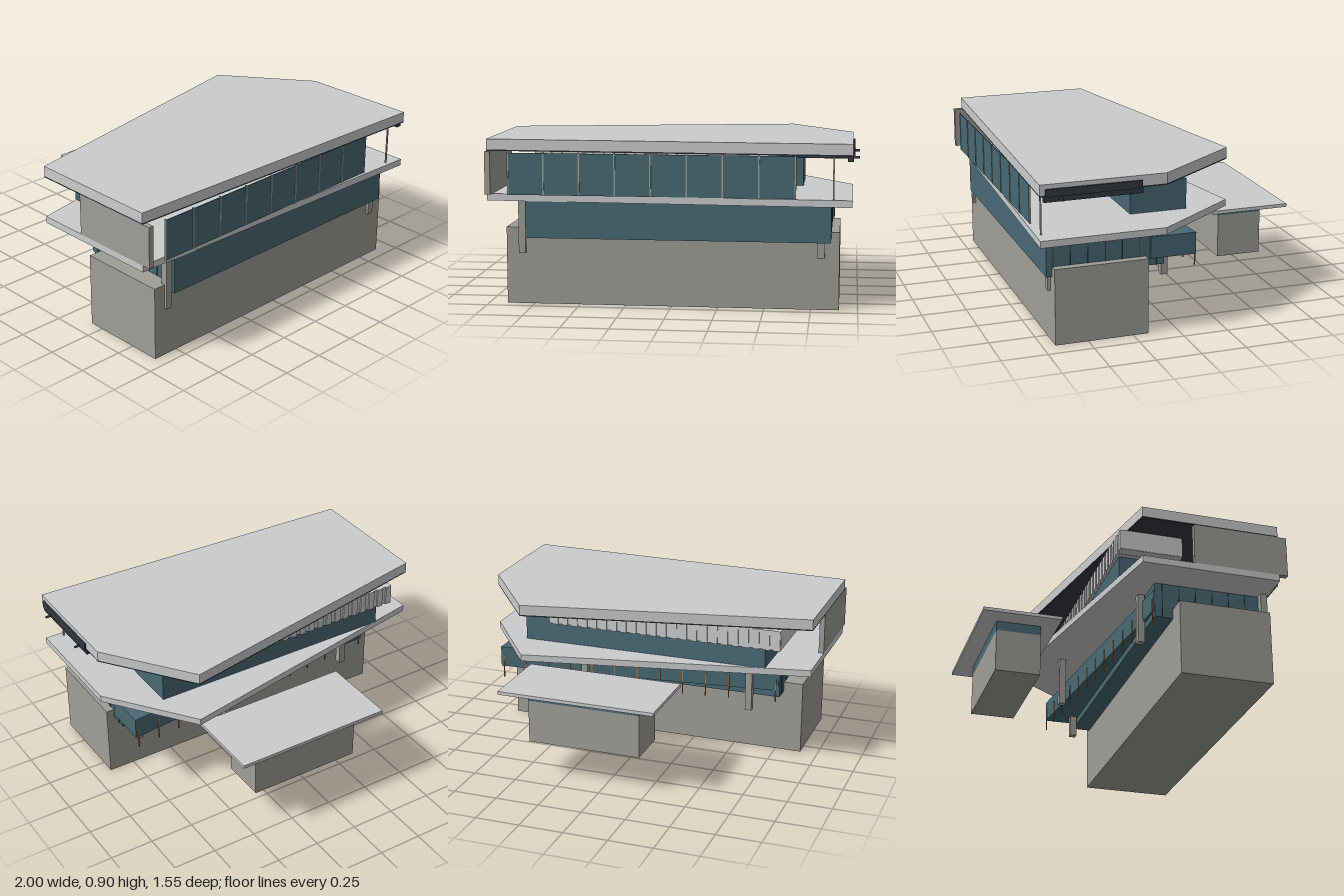
import * as THREE from 'three';

const mat = (name, color) => {
  const m = new THREE.MeshStandardMaterial({ color });
  m.name = name;
  return m;
};

export function createModel() {
  const model = new THREE.Group();
  const white = mat('paleRender', 0xcbccce);
  const concrete = mat('concrete', 0x9f9e98);
  const glass = mat('tealGlass', 0x49697400 >>> 8);
  const dark = mat('darkMetal', 0x343a42);
  const wood = mat('timber', 0xb0783c);

  const add = (name, geometry, material) => {
    const mesh = new THREE.Mesh(geometry, material);
    mesh.name = name;
    model.add(mesh);
    return mesh;
  };
  // Box given by its minimum and maximum on each axis
  const box = (name, material, x0, x1, y0, y1, z0, z1) => {
    const mesh = add(name, new THREE.BoxGeometry(x1 - x0, y1 - y0, z1 - z0), material);
    mesh.position.set((x0 + x1) / 2, (y0 + y1) / 2, (z0 + z1) / 2);
    return mesh;
  };
  // Upright prism over a plan outline of [x, z] points
  const prism = (name, material, outline, y0, y1) => {
    const shape = new THREE.Shape(outline.map(([x, z]) => new THREE.Vector2(x, z)));
    const geometry = new THREE.ExtrudeGeometry(shape, { depth: y1 - y0, bevelEnabled: false });
    geometry.rotateX(Math.PI / 2).translate(0, y1, 0);
    return add(name, geometry, material);
  };

  // Base block
  box('base', concrete, -0.9, 0.9, 0, 0.42, 0.165, 0.68);

  // Roof, soffit and upper floor share one plan
  const plan = [[-1, -0.07], [0.61, -0.39], [0.965, 0.09], [0.965, 0.772], [-1, 0.704]];
  prism('roof', white, plan, 0.843, 0.9);
  prism('soffit', dark, plan, 0.836, 0.843);
  prism('upperFloor', white, plan, 0.566, 0.604);

  // Columns
  for (const [x, z] of [[-0.812, 0.677], [0.803, 0.677], [-0.62, 0.035], [0.307, -0.16], [0.77, 0.035]]) {
    box('column', concrete, x - 0.019, x + 0.019, 0.28, 0.57, z - 0.019, z + 0.019);
  }

  // Middle storey with side mullions
  box('middleGlazing', glass, -0.79, 0.855, 0.366, 0.566, 0.062, 0.712);
  for (let i = 0; i < 7; i++) {
    const z = 0.105 + i * 0.095;
    for (const x of [-0.79, 0.855]) {
      box('middleMullion', dark, x - 0.003, x + 0.003, 0.366, 0.566, z - 0.002, z + 0.002);
    }
  }

  // Slanted rear gallery and its timber slats
  const back = [[-0.785, 0.058], [0.865, -0.115]];
  prism('rearGallery', glass, [...back, [0.865, 0.14], [-0.785, 0.305]], 0.405, 0.525);
  const slats = 13;
  for (let i = 0; i < slats; i++) {
    const t = 0.01 + 0.98 * i / (slats - 1);
    const x = THREE.MathUtils.lerp(back[0][0], back[1][0], t);
    const z = THREE.MathUtils.lerp(back[0][1], back[1][1], t);
    box('timberSlat', wood, x - 0.003, x + 0.003, 0.337, 0.475, z - 0.004, z + 0.002);
  }

  // Upper storey: end wall, front glazing and mullions
  box('endWall', concrete, -1, -0.97, 0.604, 0.836, 0.22, 0.753);
  const panels = 8, step = 0.1925;
  for (let i = 0; i <= panels; i++) {
    const x = -0.875 + i * step;
    if (i < panels) box('frontPane', glass, x + 0.004, x + step - 0.004, 0.604, 0.83, 0.737, 0.743);
    box('frontMullion', concrete, x - 0.004, x + 0.004, 0.604, 0.836, 0.736, 0.746);
  }
  box('cornerPole', concrete, 0.861, 0.869, 0.604, 0.836, 0.736, 0.744);

  // Upper rear room with ribbed band above
  box('rearRoom', glass, -0.75, 0.69, 0.604, 0.772, -0.125, 0.195);
  box('upperBand', white, -0.84, 0.54, 0.722, 0.836, -0.138, 0.203);
  for (let x = -0.82; x < 0.54; x += 0.06) {
    box('bandRib', white, x - 0.018, x + 0.018, 0.72, 0.836, -0.145, 0.21);
  }

  // Awning rails and arms on the left end
  box('awningCassette', dark, 0.966, 0.976, 0.835, 0.876, 0.226, 0.744);
  box('awningRail', dark, 0.938, 0.968, 0.806, 0.836, 0.222, 0.75);
  for (const z of [0.304, 0.66]) {
    const arm = add('awningArm', new THREE.CylinderGeometry(0.007, 0.007, 0.33, 8), dark);
    arm.rotation.z = Math.PI / 2;
    arm.position.set(0.835, 0.82, z);
  }

  // Rear annex
  box('annexWalls', concrete, -0.21, 0.44, 0.212, 0.456, -0.675, -0.42);
  box('annexWindows', glass, -0.21, 0.44, 0.456, 0.511, -0.675, -0.42);
  box('annexRoof', white, -0.327, 0.577, 0.511, 0.53, -0.775, -0.327);

  return model;
}
